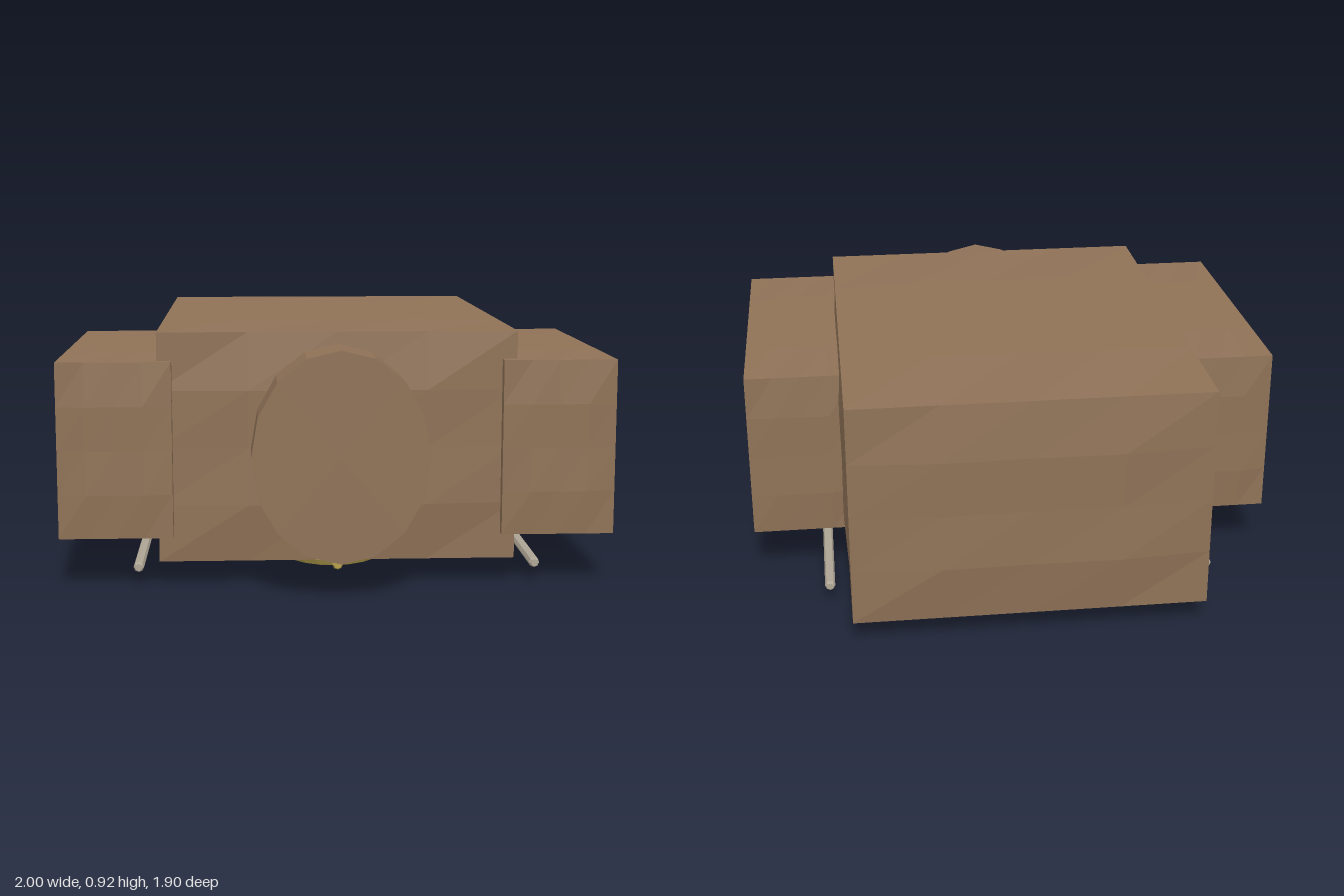
import * as THREE from 'three';

const mat = (name, color, flat = true) => {
  const m = new THREE.MeshStandardMaterial({ color, flatShading: flat });
  m.name = name;
  return m;
};

export function createModel() {
  const root = new THREE.Group();
  root.name = 'blockModel';
  const brown = mat('brown', 0x8f7257);
  const gold = mat('gold', 0xb5a04c);
  const grey = mat('grey', 0x7a6c69);
  const orange = mat('orange', 0xc68a4a);
  const steel = mat('paleSteel', 0xb0a796);

  const add = (name, geo, material, x, y, z) => {
    const m = new THREE.Mesh(geo, material);
    m.name = name;
    m.position.set(x, y, z);
    root.add(m);
    return m;
  };

  // Box with straight edges and gently swollen, faceted faces
  const swollenBox = (w, h, d, bx, by, bz) => {
    const g = new THREE.BoxGeometry(w, h, d, 4, 4, 4);
    const p = g.attributes.position, n = g.attributes.normal;
    const f = t => (Math.abs(t) > 0.9 ? 0 : Math.abs(t) > 0.3 ? 1 : 0.75);
    for (let i = 0; i < p.count; i++) {
      const x = p.getX(i), y = p.getY(i), z = p.getZ(i);
      const fx = f(2 * x / w), fy = f(2 * y / h), fz = f(2 * z / d);
      p.setXYZ(i,
        x + n.getX(i) * bx * fy * fz,
        y + n.getY(i) * by * fx * fz,
        z + n.getZ(i) * bz * fx * fy);
    }
    g.computeVertexNormals();
    return g;
  };

  // Main body
  add('mainBody', swollenBox(1.28, 0.825, 1.65, 0.012, 0.01, 0.024), brown, 0, 0.5075, -0.105);

  // Front drum, taller than wide
  const drum = new THREE.CylinderGeometry(1, 1, 0.35, 16);
  drum.rotateX(Math.PI / 2);
  drum.scale(0.31, 0.372, 1);
  add('frontDrum', drum, brown, 0, 0.506, 0.775);

  // Rod along z with chamfered ends
  const rod = (r, len) => {
    const pts = [[0, -len / 2], [r * 0.7, -len / 2], [r, -len / 2 + 0.01],
      [r, len / 2 - 0.01], [r * 0.7, len / 2], [0, len / 2]];
    const g = new THREE.LatheGeometry(pts.map(p => new THREE.Vector2(...p)), 8);
    return g.rotateX(Math.PI / 2);
  };

  // Mirrored side parts
  for (const s of [-1, 1]) {
    const side = s > 0 ? 'left' : 'right';
    add(side + 'SideBlock', swollenBox(0.405, 0.63, 1.14, 0.005, 0.007, 0.013), brown, s * 0.79, 0.505, 0.19);
    add(side + 'Rail', rod(0.019, 1.36), steel, s * 0.715, 0.076, 0.05);
    add(side + 'Plate', new THREE.BoxGeometry(0.32, 0.04, 0.36), orange, s * 0.28, 0.078, -0.1);
    add(side + 'Pad', new THREE.BoxGeometry(0.26, 0.06, 0.225), grey, s * 0.455, 0.058, 0.01);
  }

  // Underside centre rod with beads
  add('centreRod', rod(0.019, 1.36), gold, 0, 0.076, 0.05);
  for (const z of [-0.28, -0.03, 0.39]) {
    add('bead', new THREE.SphereGeometry(0.046, 12, 8), gold, 0, 0.072, z);
  }

  // Bevelled oval ring under the body
  const profile = [[0.125, 0.095], [0.125, 0.035], [0.145, 0.018], [0.17, 0.008],
    [0.19, 0.015], [0.2, 0.035], [0.2, 0.08], [0.19, 0.095], [0.125, 0.095]];
  const ring = new THREE.LatheGeometry(profile.map(p => new THREE.Vector2(...p)), 20);
  ring.scale(1, 1, 1.17);
  const ringMat = gold.clone();
  ringMat.name = 'gold';
  ringMat.side = THREE.DoubleSide;
  add('ring', ring, ringMat, 0, 0, 0.265);

  return root;
}
